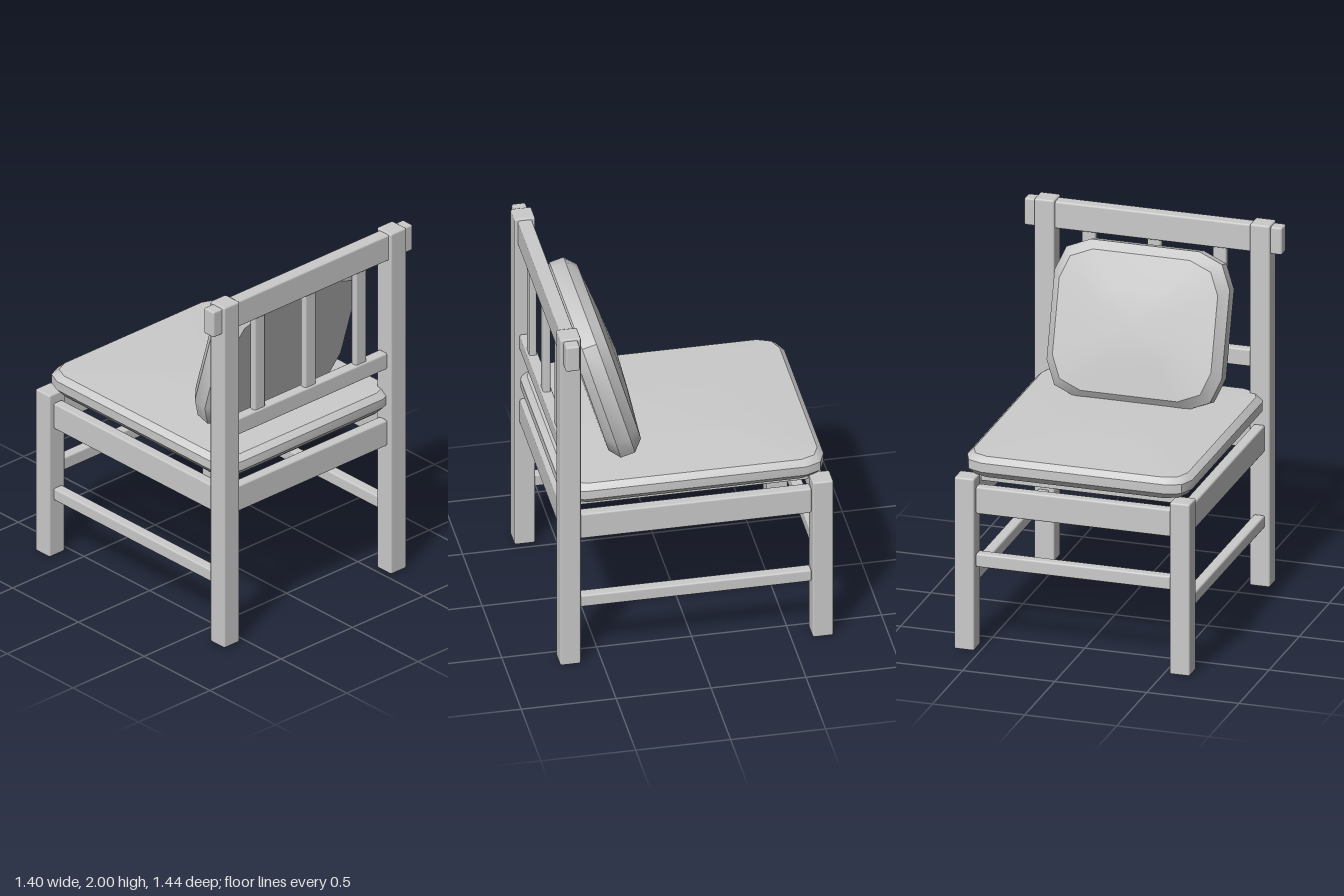
import * as THREE from 'three';
import { RoundedBoxGeometry } from 'three/addons/geometries/RoundedBoxGeometry.js';
import { toCreasedNormals } from 'three/addons/utils/BufferGeometryUtils.js';

const material = new THREE.MeshStandardMaterial({ color: 0xcccccc });

// Closed loop of a rectangle with two-segment rounded corners, in the x/z plane
function roundedLoop(hx, hz, r, y) {
  const pts = [];
  [[1, 1], [-1, 1], [-1, -1], [1, -1]].forEach(([sx, sz], q) => {
    for (let i = 0; i <= 2; i++) {
      const a = (q + i / 2) * Math.PI / 2;
      pts.push([sx * (hx - r) + r * Math.cos(a), y, sz * (hz - r) + r * Math.sin(a)]);
    }
  });
  return pts;
}

// Upholstered pad: flat base at y = 0, bevelled rim, slightly domed top
function padGeometry({ hx, hz, r, inset, low, high, top, dome }) {
  const rings = [
    roundedLoop(hx - inset, hz - inset, r - inset * 0.3, 0),
    roundedLoop(hx, hz, r, low),
    roundedLoop(hx, hz, r, high),
    roundedLoop(hx - inset, hz - inset, r - inset * 0.3, top),
    roundedLoop((hx - inset) / 2, (hz - inset) / 2, r / 2, top + dome * 0.6),
  ];
  const n = rings[0].length;
  const positions = rings.flat(2);
  positions.push(0, 0, 0, 0, top + dome, 0);
  const base = rings.length * n, peak = base + 1;
  const index = [];
  for (let i = 0; i < n; i++) {
    const j = (i + 1) % n;
    index.push(base, i, j);
    for (let k = 0; k < rings.length - 1; k++) {
      const a = k * n + i, b = k * n + j;
      index.push(a, a + n, b, b, a + n, b + n);
    }
    index.push(peak, base - n + j, base - n + i);
  }
  const g = new THREE.BufferGeometry();
  g.setAttribute('position', new THREE.Float32BufferAttribute(positions, 3));
  g.setIndex(index);
  return toCreasedNormals(g, 0.6);
}

export function createModel() {
  const chair = new THREE.Group();
  chair.name = 'chair';

  // Timber with slightly eased edges, given by its size and centre
  function timber(name, w, h, d, x, y, z, bevel = 0.01) {
    const mesh = new THREE.Mesh(new RoundedBoxGeometry(w, h, d, 1, bevel), material);
    mesh.name = name;
    mesh.position.set(x, y, z);
    chair.add(mesh);
  }

  // Legs, side aprons and side stretchers
  for (const s of [-1, 1]) {
    timber('backPost', 0.11, 2, 0.11, s * 0.585, 1, 0.665);
    timber('frontLeg', 0.11, 0.95, 0.11, s * 0.585, 0.475, -0.665);
    timber('sideApron', 0.06, 0.15, 1.22, s * 0.585, 0.825, 0);
    timber('sideStretcher', 0.06, 0.07, 1.22, s * 0.585, 0.365, 0);
    timber(s < 0 ? 'frontApron' : 'backApron', 1.06, 0.15, 0.06, 0, 0.825, s * 0.665);
  }
  timber('frontStretcher', 1.06, 0.075, 0.06, 0, 0.493, -0.665);

  // Backrest
  timber('topRail', 1.4, 0.15, 0.075, 0, 1.915, 0.665);
  timber('lowerBackRail', 1.06, 0.095, 0.06, 0, 1.247, 0.665);
  for (const x of [-0.355, 0, 0.355]) timber('backSlat', 0.075, 0.57, 0.04, x, 1.565, 0.665);

  // Board under the seat
  timber('seatBoard', 1.06, 0.045, 1.22, 0, 0.927, 0, 0.004);

  const seat = new THREE.Mesh(padGeometry({
    hx: 0.61, hz: 0.695, r: 0.11, inset: 0.03, low: 0.035, high: 0.085, top: 0.115, dome: 0.025,
  }), material);
  seat.name = 'seatCushion';
  seat.position.y = 0.95;
  chair.add(seat);

  // Pillow leaning on the backrest, domed face toward the sitter
  const pillow = new THREE.Mesh(padGeometry({
    hx: 0.475, hz: 0.413, r: 0.18, inset: 0.045, low: 0.047, high: 0.125, top: 0.178, dome: 0.038,
  }), material);
  pillow.name = 'backPillow';
  pillow.rotation.x = -Math.PI / 2 + 0.286;
  pillow.position.set(0, 1.428, 0.503);
  chair.add(pillow);

  return chair;
}
